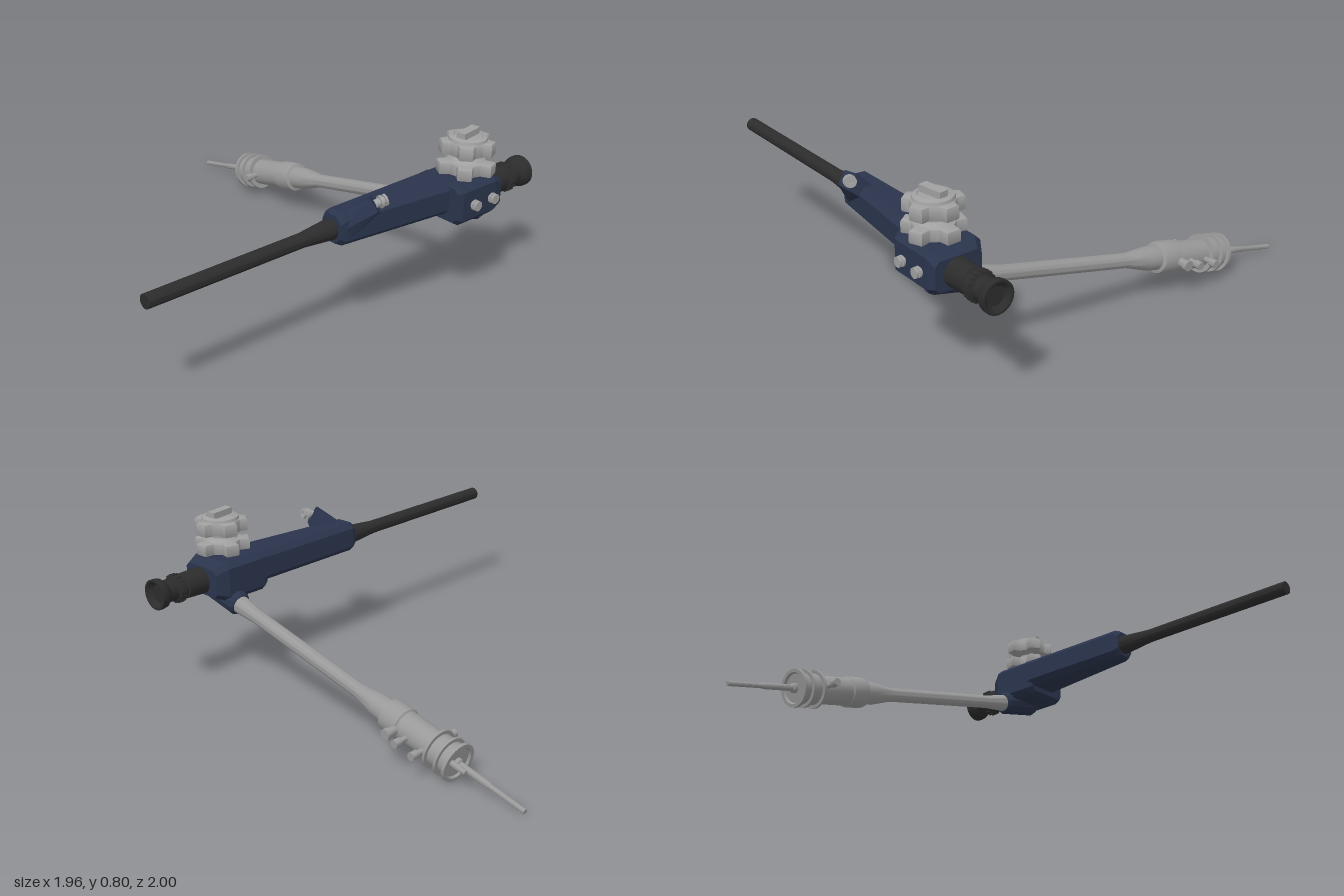
import * as THREE from 'three';
import { toCreasedNormals } from 'three/addons/utils/BufferGeometryUtils.js';
import { ConvexGeometry } from 'three/addons/geometries/ConvexGeometry.js';

const V = (x, y, z) => new THREE.Vector3(x, y, z);
const UP = V(0, 1, 0);
const paint = (color, flat = false) => new THREE.MeshStandardMaterial({ color, flatShading: flat });
const navy = paint(0x2a344c, true);
const black = paint(0x2c2c2c);
const steel = paint(0x999999);
const knobGrey = paint(0xa0a0a0);

function add(parent, name, geometry, material) {
  const mesh = new THREE.Mesh(geometry, material);
  mesh.name = name;
  parent.add(mesh);
  return mesh;
}

// Turned part: profile of [radius, distance along axis], aimed along dir from pos
function turned(parent, name, profile, material, pos = V(0, 0, 0), dir = UP, sides = 28) {
  const pts = profile.map(([r, s]) => new THREE.Vector2(r, s));
  const geo = toCreasedNormals(new THREE.LatheGeometry(pts, sides), 0.6);
  const mesh = add(parent, name, geo, material);
  mesh.position.copy(pos);
  mesh.quaternion.setFromUnitVectors(UP, dir.clone().normalize());
  return mesh;
}

// Chamfered box lofted along z through sections [z, x0, x1, y0, y1, chamfer]
function loft(sections) {
  const pos = [], idx = [], n = 8;
  for (const [z, x0, x1, y0, y1, c] of sections) {
    const ring = [[x1, y0 + c], [x1, y1 - c], [x1 - c, y1], [x0 + c, y1],
      [x0, y1 - c], [x0, y0 + c], [x0 + c, y0], [x1 - c, y0]];
    for (const [x, y] of ring) pos.push(x, y, z);
  }
  const last = (sections.length - 1) * n;
  for (let i = 0; i < last; i += n) {
    for (let j = 0; j < n; j++) {
      const k = (j + 1) % n;
      idx.push(i + j, i + k, i + n + k, i + j, i + n + k, i + n + j);
    }
  }
  for (let j = 1; j < n - 1; j++) idx.push(0, j + 1, j, last, last + j, last + j + 1);
  const geo = new THREE.BufferGeometry();
  geo.setAttribute('position', new THREE.Float32BufferAttribute(pos, 3));
  geo.setIndex(idx);
  geo.computeVertexNormals();
  return geo;
}

// Lobed control wheel lying flat, bottom at y = 0
function wheelGeometry(hub, reach, height, lobes, offset) {
  const pts = [];
  for (let i = 0; i < lobes; i++) {
    const a = offset + (i / lobes) * Math.PI * 2;
    for (const [r, d] of [[hub, -0.42], [reach, -0.24], [reach, 0.24], [hub, 0.42]]) {
      pts.push(new THREE.Vector2(r * Math.cos(a + d), r * Math.sin(a + d)));
    }
  }
  const b = 0.008;
  const geo = new THREE.ExtrudeGeometry(new THREE.Shape(pts), {
    depth: height - 2 * b, bevelEnabled: true, bevelSize: b, bevelThickness: b,
    bevelOffset: -b, bevelSegments: 2,
  });
  geo.translate(0, 0, b);
  geo.rotateX(-Math.PI / 2);
  return toCreasedNormals(geo, 0.5);
}

export function createModel() {
  const model = new THREE.Group();
  model.name = 'endoscope';

  // Tapered handle and control head
  add(model, 'handle', loft([
    [-0.52, 0.695, 0.89, 0.46, 0.6, 0.02],
    [-0.46, 0.695, 0.885, 0.46, 0.6, 0.025],
    [0.06, 0.7, 0.825, 0.46, 0.6, 0.025],
    [0.083, 0.71, 0.815, 0.47, 0.59, 0.03],
  ]), navy);
  add(model, 'controlHead', loft([
    [-0.75, 0.725, 0.935, 0.44, 0.57, 0.02],
    [-0.7, 0.695, 0.945, 0.42, 0.6, 0.025],
    [-0.5, 0.695, 0.945, 0.42, 0.6, 0.025],
    [-0.475, 0.71, 0.93, 0.435, 0.59, 0.02],
  ]), navy);

  // Insertion tube with strain relief
  turned(model, 'insertionTube', [[0, 0], [0.045, 0], [0.045, 0.02], [0.031, 0.17],
    [0.03, 0.93], [0, 0.93]], black, V(0.757, 0.525, 0.07), V(0, 0, 1));

  // Eyepiece
  turned(model, 'eyepiece', [[0, 0], [0.062, 0], [0.058, 0.11], [0.05, 0.115], [0.05, 0.125],
    [0.062, 0.13], [0.062, 0.16], [0.05, 0.165], [0.05, 0.205], [0.066, 0.225],
    [0.069, 0.24], [0.069, 0.26], [0.06, 0.26], [0.04, 0.24], [0, 0.24]],
  black, V(0.836, 0.505, -0.74), V(0, 0, -1));
  for (let i = 0; i < 16; i++) {
    const a = (i / 16) * Math.PI * 2;
    const rib = add(model, 'focusRingRib', new THREE.BoxGeometry(0.008, 0.01, 0.026), black);
    rib.position.set(0.836 + 0.062 * Math.cos(a), 0.505 + 0.062 * Math.sin(a), -0.885);
    rib.rotation.z = a;
  }

  // Angulation knobs stacked on a vertical axle
  const knobs = new THREE.Group();
  knobs.name = 'controlKnobs';
  knobs.position.set(0.843, 0, -0.615);
  model.add(knobs);
  turned(knobs, 'knobCollar', [[0.065, 0.59], [0.06, 0.625], [0, 0.625]], navy);
  add(knobs, 'lowerWheel', wheelGeometry(0.085, 0.125, 0.055, 5, -0.89), knobGrey).position.y = 0.612;
  turned(knobs, 'axle', [[0.075, 0.665], [0.05, 0.68], [0.05, 0.69], [0.075, 0.7]], knobGrey);
  add(knobs, 'upperWheel', wheelGeometry(0.09, 0.119, 0.06, 5, -0.89), knobGrey).position.y = 0.7;
  turned(knobs, 'knobCap', [[0.085, 0.755], [0.08, 0.772], [0.062, 0.778], [0.058, 0.772], [0, 0.772]], knobGrey);
  const grip = add(knobs, 'capGrip', new THREE.BoxGeometry(0.04, 0.035, 0.115), knobGrey);
  grip.position.y = 0.783;
  grip.rotation.y = 0.15;

  // Valve buttons on the side of the head
  for (const z of [-0.56, -0.67]) {
    turned(model, 'valveButton', [[0.015, 0], [0.015, 0.012], [0.023, 0.012], [0.023, 0.02],
      [0.015, 0.022], [0.015, 0.027], [0.022, 0.027], [0.022, 0.036], [0, 0.036]],
    knobGrey, V(0.94, 0.51, z), V(1, 0, 0), 16);
  }

  // Instrument channel spout and its port
  add(model, 'channelSpout', new ConvexGeometry([
    V(0.81, 0.53, 0.075), V(0.775, 0.595, 0.045), V(0.77, 0.595, -0.08), V(0.8, 0.53, -0.1),
    V(0.815, 0.48, 0.04), V(0.905, 0.62, -0.03), V(0.865, 0.67, -0.02), V(0.835, 0.66, -0.06),
    V(0.88, 0.6, -0.07)]), navy);
  turned(model, 'channelPort', [[0.018, 0], [0.018, 0.025], [0.027, 0.025], [0.027, 0.035],
    [0.017, 0.037], [0.017, 0.045], [0.025, 0.045], [0.025, 0.055], [0.01, 0.055], [0.01, 0.04], [0, 0.04]],
  knobGrey, V(0.868, 0.636, -0.043), V(0.25, 0.2, -0.85), 16);

  // Light guide cable, built along its own +y axis
  const cable = new THREE.Group();
  cable.name = 'lightGuide';
  cable.position.set(0.68, 0.4, -0.657);
  cable.quaternion.setFromUnitVectors(UP, V(-1.66, -0.385, -0.02).normalize());
  model.add(cable);
  turned(cable, 'cableSocket', [[0, -0.23], [0.045, -0.23], [0.057, -0.21], [0.057, -0.02],
    [0.047, 0], [0, 0]], navy, V(0, 0, 0), UP, 12);
  turned(cable, 'cable', [[0.042, -0.01], [0.04, 0.02], [0.032, 0.12], [0.032, 0.78],
    [0.036, 0.81], [0.052, 0.9], [0.054, 0.98]], steel);
  turned(cable, 'connector', [[0.054, 0.96], [0.068, 0.965], [0.071, 0.98], [0.071, 1.055],
    [0.064, 1.06], [0.064, 1.235], [0.086, 1.235], [0.086, 1.247], [0.07, 1.247], [0.07, 1.295],
    [0.086, 1.295], [0.086, 1.307], [0.07, 1.307], [0.07, 1.34], [0.086, 1.34], [0.086, 1.355],
    [0.07, 1.355], [0.065, 1.345], [0, 1.345]], steel);

  // Plug pins
  turned(cable, 'lightGuidePin', [[0.022, 1.34], [0.022, 1.36], [0.014, 1.365], [0.014, 1.52],
    [0.011, 1.525], [0.011, 1.703], [0, 1.703]], steel, V(0, 0, 0), UP, 16);
  turned(cable, 'airPin', [[0.013, 1.34], [0.013, 1.4], [0.009, 1.42], [0, 1.42]],
    steel, V(0.012, 0, -0.033), UP, 14);

  // Side nipples on the connector
  const nipple = [[0.012, 0.05], [0.012, 0.095], [0.018, 0.097], [0.018, 0.13], [0, 0.13]];
  for (const [s, side] of [[1.215, -1], [1.12, -1], [1.21, 1]]) {
    turned(cable, 'sideNipple', nipple, steel, V(0, s, 0), V(0, 0, side), 16);
  }
  turned(cable, 'ventNipple', [[0.02, 0.05], [0.02, 0.1], [0.024, 0.1], [0.024, 0.118], [0, 0.118]],
    steel, V(0, 1.055, 0), V(0, 0, -1), 16);
  return model;
}
